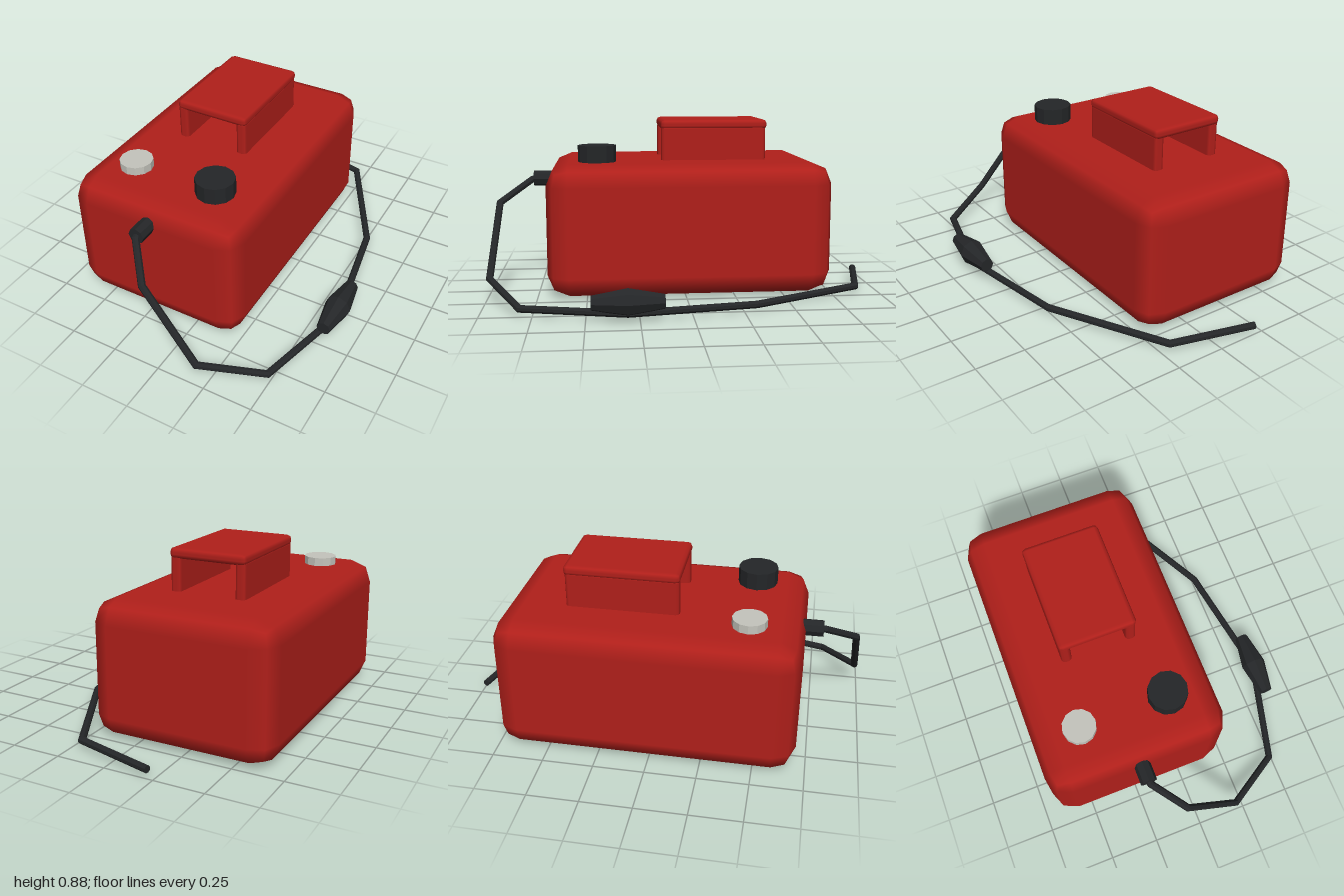
import * as THREE from 'three';
import { RoundedBoxGeometry } from 'three/addons/geometries/RoundedBoxGeometry.js';

const red = new THREE.MeshStandardMaterial({ color: 0xb01f1a });
const black = new THREE.MeshStandardMaterial({ color: 0x242628, flatShading: true });
const white = new THREE.MeshStandardMaterial({ color: 0xc4c4bc, flatShading: true });

function add(group, name, geometry, material, x = 0, y = 0, z = 0) {
  const mesh = new THREE.Mesh(geometry, material);
  mesh.name = name;
  mesh.position.set(x, y, z);
  group.add(mesh);
  return mesh;
}

// Rounded box given by its minimum and maximum corners
function roundedBox(group, name, min, max, radius) {
  const size = max.map((v, i) => v - min[i]);
  const mid = max.map((v, i) => (v + min[i]) / 2);
  return add(group, name, new RoundedBoxGeometry(...size, 1, radius), red, ...mid);
}

// Straight-sided pipe through points, with mitred joints and closed ends
function mitredPipe(points, radius, sides) {
  const pos = [], index = [];
  const dirs = points.slice(1).map((p, i) => p.clone().sub(points[i]).normalize());
  let side = new THREE.Vector3(0, 1, 0).cross(dirs[0]).normalize();
  let up = dirs[0].clone().cross(side);
  points.forEach((p, i) => {
    const before = dirs[Math.max(i - 1, 0)];
    const after = dirs[Math.min(i, dirs.length - 1)];
    const normal = before.clone().add(after).normalize();
    for (let k = 0; k < sides; k++) {
      const a = (k / sides) * Math.PI * 2;
      const offset = side.clone().multiplyScalar(Math.cos(a) * radius)
        .addScaledVector(up, Math.sin(a) * radius);
      // slide along the incoming segment onto the joint plane
      offset.addScaledVector(before, -offset.dot(normal) / before.dot(normal));
      pos.push(...offset.add(p).toArray());
      if (i < points.length - 1) {
        const k2 = (k + 1) % sides, r = i * sides, n = r + sides;
        index.push(r + k, r + k2, n + k2, r + k, n + k2, n + k);
      }
    }
    const turn = new THREE.Quaternion().setFromUnitVectors(before, after);
    side.applyQuaternion(turn);
    up.applyQuaternion(turn);
  });
  const last = (points.length - 1) * sides;
  for (let k = 1; k < sides - 1; k++) {
    index.push(0, k + 1, k, last, last + k, last + k + 1);
  }
  const geometry = new THREE.BufferGeometry();
  geometry.setAttribute('position', new THREE.Float32BufferAttribute(pos, 3));
  geometry.setIndex(index);
  geometry.computeVertexNormals();
  return geometry;
}

export function createModel() {
  const model = new THREE.Group();
  model.name = 'fuelTank';

  // Tank
  roundedBox(model, 'tankBody', [-0.68, 0, -0.755], [0.245, 0.675, 0.7], 0.11);

  // Carrying handle: two upright plates and a top slab
  const handle = new THREE.Group();
  handle.name = 'handle';
  model.add(handle);
  roundedBox(handle, 'handleRightPlate', [-0.41, 0.64, -0.44], [-0.357, 0.855, 0.11], 0.018);
  roundedBox(handle, 'handleLeftPlate', [-0.077, 0.64, -0.44], [-0.023, 0.855, 0.11], 0.018);
  roundedBox(handle, 'handleTop', [-0.413, 0.832, -0.447], [-0.02, 0.885, 0.113], 0.022);

  // Caps
  add(model, 'gaugeCap', new THREE.CylinderGeometry(0.083, 0.083, 0.08, 12), white, -0.443, 0.677, 0.443);
  add(model, 'fillerCap', new THREE.CylinderGeometry(0.098, 0.098, 0.12, 12), black, 0.006, 0.7, 0.443);

  // Hose fitting on the front wall
  add(model, 'hoseFitting', new THREE.CylinderGeometry(0.041, 0.041, 0.1, 8), black, -0.22, 0.565, 0.735)
    .rotation.x = Math.PI / 2;

  // Hose
  const path = [
    [-0.22, 0.565, 0.77], [-0.215, 0.56, 0.795], [-0.08, 0.455, 0.952], [0.205, 0.115, 0.98],
    [0.485, 0.037, 0.81], [0.615, 0.037, 0.305], [0.51, 0.037, -0.31],
    [0.205, 0.037, -0.875], [-0.215, 0.037, -0.985],
  ].map((p) => new THREE.Vector3(...p));
  add(model, 'hose', mitredPipe(path, 0.018, 8), black);

  // Primer bulb lying on the hose
  const profile = [[0, -0.17], [0.035, -0.17], [0.066, 0], [0.035, 0.17], [0, 0.17]]
    .map(([r, y]) => new THREE.Vector2(r, y));
  add(model, 'primerBulb', new THREE.LatheGeometry(profile, 8), black, 0.608, 0.09, 0.305)
    .rotation.x = Math.PI / 2;

  return model;
}
